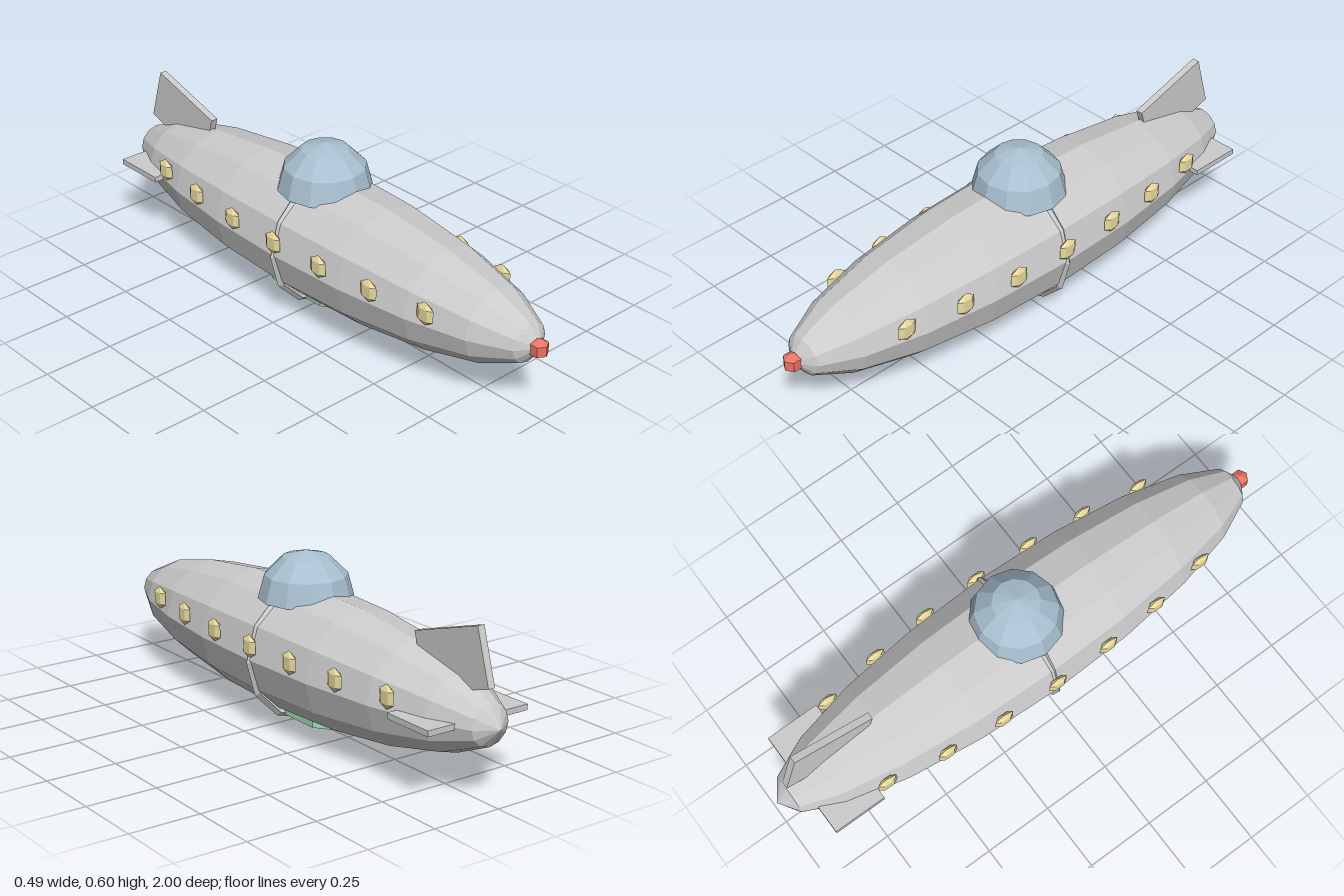
import * as THREE from 'three';

const material = (color) => new THREE.MeshStandardMaterial({ color, flatShading: true });
const grey = material(0xcccccc);
const glass = material(0xa8c0d0);
const yellow = material(0xeadb9f);
const red = material(0xee7466);
const green = material(0xa3dbb0);

const CENTRE_Z = -0.012;
const AXIS_Y = 0.256;

export function createModel() {
  const model = new THREE.Group();
  model.name = 'airship';

  const add = (name, geometry, mat, x, y, z) => {
    const mesh = new THREE.Mesh(geometry, mat);
    mesh.name = name;
    mesh.position.set(x, y, z);
    model.add(mesh);
    return mesh;
  };

  // Low-poly bead with two of its corners facing front and back
  const bead = (radius) => new THREE.SphereGeometry(radius, 6, 3).rotateY(Math.PI / 2);

  // Long hull with its poles at nose and tail
  const hull = new THREE.SphereGeometry(1, 12, 10).rotateX(Math.PI / 2);
  hull.scale(0.238, 0.222, 0.988);
  add('hull', hull, grey, 0, AXIS_Y, CENTRE_Z);

  // Thin band around the middle
  add('hullBand', new THREE.TorusGeometry(0.231, 0.015, 4, 12), grey, 0, 0.248, CENTRE_Z);

  // Domed canopy on top
  const dome = new THREE.SphereGeometry(0.164, 12, 3, 0, Math.PI * 2, 0, Math.PI / 2);
  const canopy = add('canopy', dome, glass, 0, 0.435, CENTRE_Z);
  canopy.material.side = THREE.DoubleSide;

  // Nose light
  add('noseLight', bead(0.0357), red, 0, AXIS_Y, 0.969);

  // Seven portholes along each side, following the hull curve
  const porthole = bead(0.042).scale(0.37, 1, 1);
  for (const side of [-1, 1]) {
    for (let i = -3; i <= 3; i++) {
      const dz = i * 0.2195;
      const x = 0.234 * Math.sqrt(1 - (dz / 0.988) ** 2);
      add(side > 0 ? 'leftPorthole' : 'rightPorthole', porthole, yellow, side * x, 0.304, dz + CENTRE_Z);
    }
  }

  // Flat six-sided belly hatch
  const hatch = new THREE.CylinderGeometry(1, 1, 0.024, 6).scale(0.111, 1, 0.249);
  add('bellyHatch', hatch, green, 0, 0.047, -0.056);

  // Tail fins: a tilted upright one and one level plane through the hull
  const fin = add('tailFin', new THREE.BoxGeometry(0.026, 0.194, 0.307), grey, 0, 0.422, -0.778);
  fin.rotation.x = Math.atan2(0.09, 0.294);
  add('tailPlane', new THREE.BoxGeometry(0.4, 0.02, 0.195), grey, 0, 0.258, -0.802);

  return model;
}
